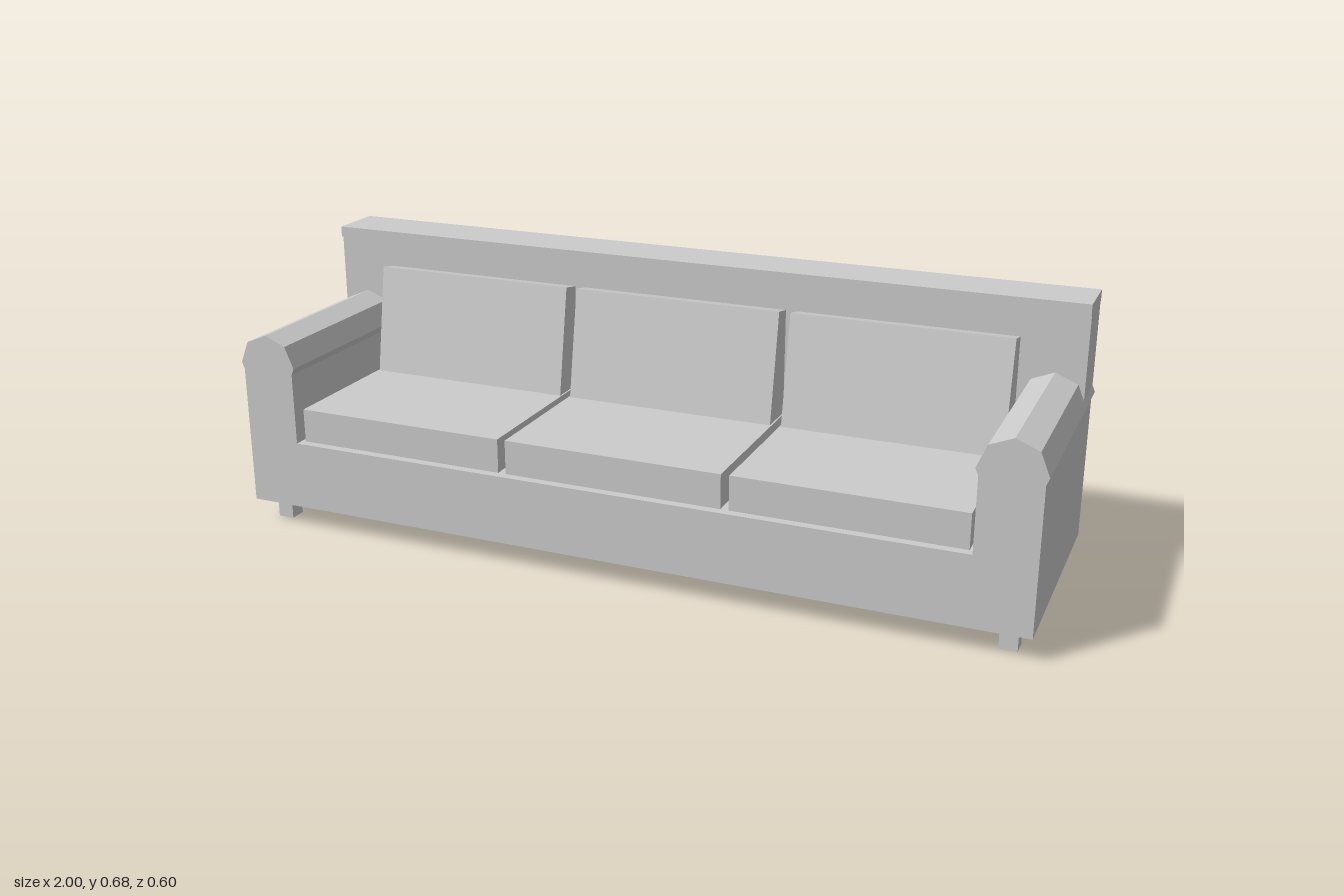
import * as THREE from 'three';

const material = new THREE.MeshStandardMaterial({ color: 0xcccccc, flatShading: true });

// Box given by its minimum and maximum on each axis
function box(name, [x0, x1], [y0, y1], [z0, z1]) {
  const mesh = new THREE.Mesh(new THREE.BoxGeometry(x1 - x0, y1 - y0, z1 - z0), material);
  mesh.name = name;
  mesh.position.set((x0 + x1) / 2, (y0 + y1) / 2, (z0 + z1) / 2);
  return mesh;
}

// Shape in the xy plane, extruded from z0 to z1
function extrude(name, points, z0, z1) {
  const shape = new THREE.Shape(points.map(([x, y]) => new THREE.Vector2(x, y)));
  const geometry = new THREE.ExtrudeGeometry(shape, { depth: z1 - z0, bevelEnabled: false });
  geometry.translate(0, 0, z0);
  const mesh = new THREE.Mesh(geometry, material);
  mesh.name = name;
  return mesh;
}

export function createModel() {
  const sofa = new THREE.Group();
  sofa.name = 'sofa';

  // Base and both rolled arms share one U-shaped profile
  const armX = 0.923, armY = 0.427, roll = 0.077;
  const half = [[0.993, 0.058], [0.993, 0.41]];
  for (let i = 0; i <= 4; i++) {
    const a = (i * Math.PI) / 4;
    half.push([armX + roll * Math.cos(a), armY + roll * Math.sin(a)]);
  }
  half.push([0.853, 0.41], [0.853, 0.23]);
  const mirrored = half.map(([x, y]) => [-x, y]).reverse();
  sofa.add(extrude('baseAndArms', [...half, ...mirrored], -0.293, 0.302));

  // Backrest with its overhanging cap
  sofa.add(box('backrest', [-0.993, 0.993], [0.058, 0.65], [-0.293, -0.166]));
  sofa.add(box('backrestCap', [-0.993, 0.993], [0.648, 0.675], [-0.3, -0.159]));

  // Three seat cushions and three leaning back cushions
  for (const i of [-1, 0, 1]) {
    const x = i * 0.568;
    sofa.add(box('seatCushion', [x - 0.274, x + 0.274], [0.22, 0.315], [-0.17, 0.28]));

    const geometry = new THREE.BoxGeometry(0.54, 0.33, 0.1);
    geometry.translate(0, -0.165, -0.05); // pivot on the top front edge
    const cushion = new THREE.Mesh(geometry, material);
    cushion.name = 'backCushion';
    cushion.position.set(x, 0.589, -0.115);
    cushion.rotation.x = -0.175;
    sofa.add(cushion);
  }

  // Four square legs
  for (const x of [-0.936, 0.936]) {
    for (const z of [0.238, -0.23]) {
      sofa.add(box('leg', [x - 0.021, x + 0.021], [0, 0.06], [z - 0.021, z + 0.021]));
    }
  }
  return sofa;
}
